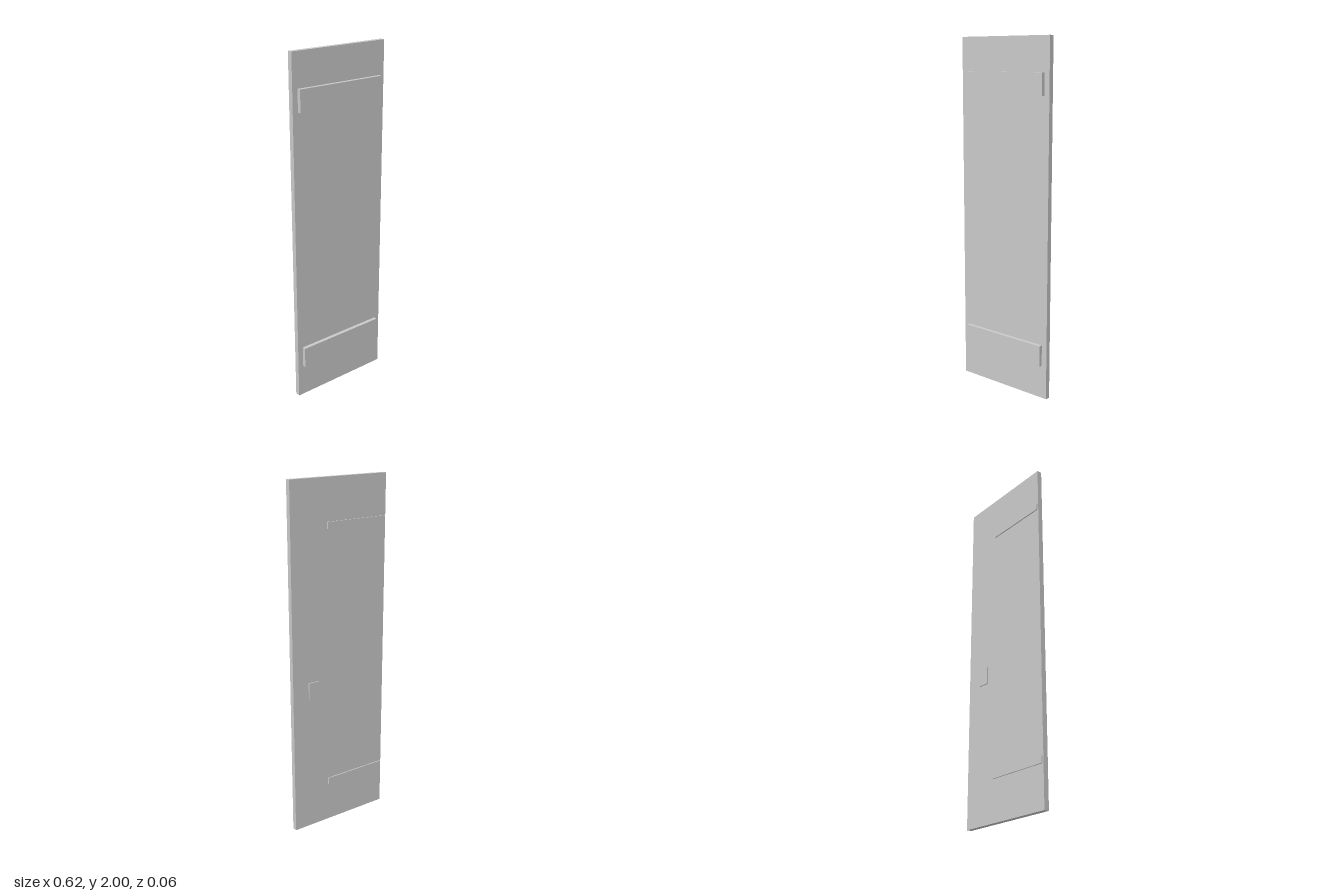
import * as THREE from 'three';

export function createModel() {
  const group = new THREE.Group();
  const grey = new THREE.MeshStandardMaterial({ color: 0xc8c8c8 });
  grey.name = 'grey';

  // Box given by its limits on each axis
  function slab(name, [x0, x1], [y0, y1], [z0, z1]) {
    const mesh = new THREE.Mesh(new THREE.BoxGeometry(x1 - x0, y1 - y0, z1 - z0), grey);
    mesh.position.set((x0 + x1) / 2, (y0 + y1) / 2, (z0 + z1) / 2);
    mesh.name = name;
    group.add(mesh);
  }

  const back = -0.022, front = 0.007;

  // Door leaf
  slab('doorPanel', [-0.311, 0.311], [0, 2], [back, front]);

  // Cross battens on the front, hinge straps on the back
  for (const [label, y] of [['lower', 0.252], ['upper', 1.75]]) {
    slab(label + 'Batten', [-0.278, 0.278], [y - 0.061, y + 0.061], [front, 0.0285]);
    slab(label + 'HingeStrap', [-0.305, 0.081], [y - 0.019, y + 0.019], [-0.0285, back]);
  }

  // Lock plate on the back
  slab('lockPlate', [0.142, 0.21], [0.794, 0.893], [-0.0285, back]);

  return group;
}
